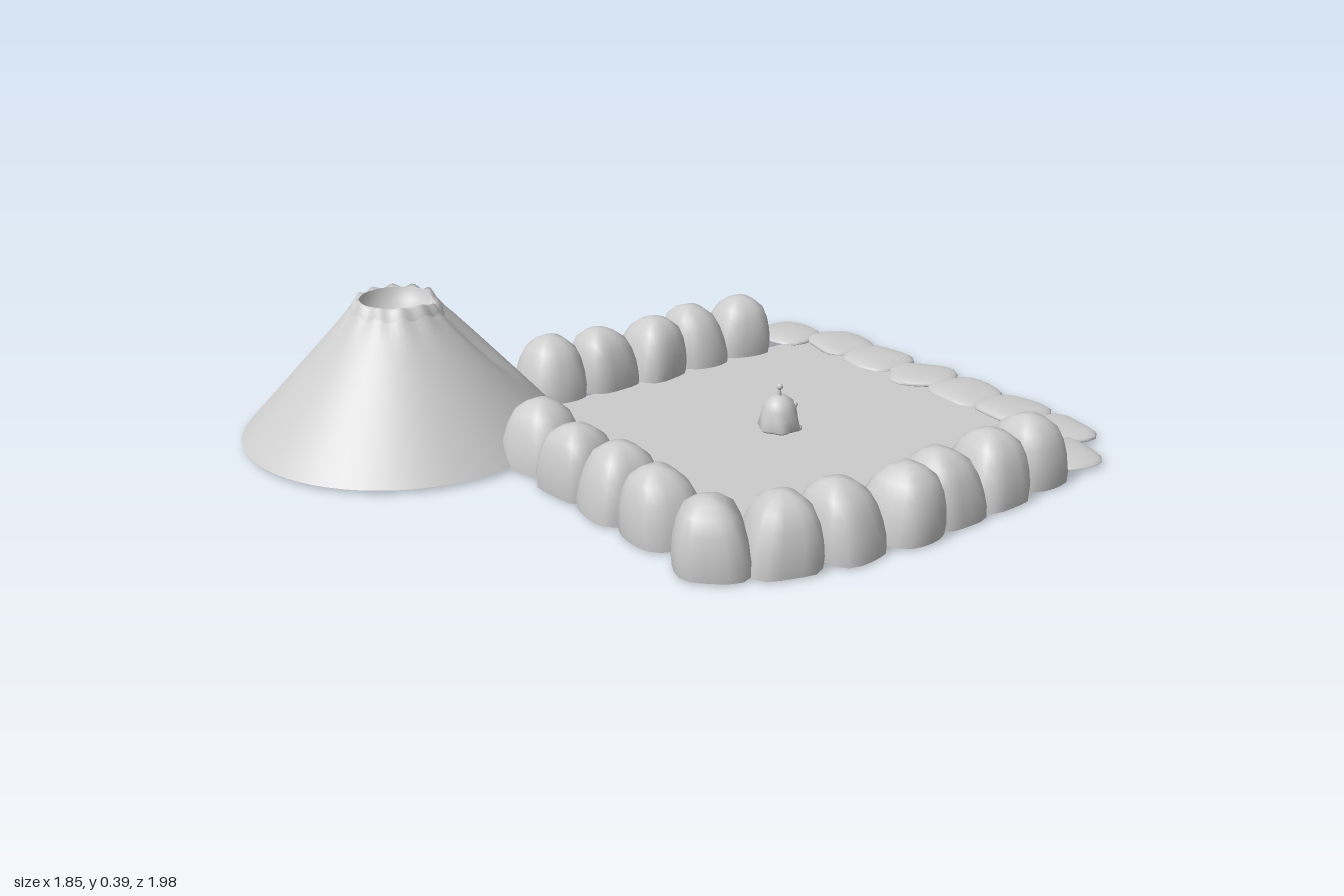
import * as THREE from 'three';
import { mergeVertices } from 'three/addons/utils/BufferGeometryUtils.js';

const stone = new THREE.MeshStandardMaterial({ color: 0xcccccc });
stone.name = 'plain grey';

function add(parent, geometry, name, x = 0, y = 0, z = 0) {
  const mesh = new THREE.Mesh(geometry, stone);
  mesh.name = name;
  mesh.position.set(x, y, z);
  parent.add(mesh);
  return mesh;
}

// Turned profile whose vertices can be moved by a rule, with seamless smooth normals
function turned(profile, segments, rule) {
  const geo = new THREE.LatheGeometry(profile.map(([r, y]) => new THREE.Vector2(r, y)), segments);
  return shaped(geo, rule);
}

function shaped(geo, rule) {
  geo.deleteAttribute('uv');
  geo.deleteAttribute('normal');
  const p = geo.attributes.position;
  const v = new THREE.Vector3();
  for (let i = 0; i < p.count; i++) {
    v.fromBufferAttribute(p, i);
    if (rule) rule(v);
    p.setXYZ(i, v.x, v.y, v.z);
  }
  const merged = mergeVertices(geo, 1e-5);
  merged.computeVertexNormals();
  return merged;
}

// Rounded-square thimble boulder with slight irregularity
function boulder(parent, name, x, z, seed, turn, flat) {
  const rule = (v) => {
    const a = Math.atan2(v.x, v.z);
    const square = Math.pow(Math.cos(a) ** 4 + Math.sin(a) ** 4, -0.2);
    const k = square * (1 + 0.04 * Math.sin(3 * a + seed * 1.7));
    v.x = v.x * k * 1.06 + v.y * 0.07 * Math.sin(seed * 2.3);
    v.z = v.z * k * 0.97 + v.y * 0.07 * Math.cos(seed * 3.1);
  };
  const group = new THREE.Group();
  group.name = name;
  group.position.set(x, flat ? 0.01 : 0.004, z);
  group.rotation.y = turn;
  group.scale.y = flat ? 0.12 : 1;
  add(group, turned([[0.094, 0], [0.095, 0.03], [0.09, 0.07], [0.08, 0.11], [0.064, 0.145],
    [0.038, 0.167], [0.015, 0.175], [0, 0.177]], 20, rule), 'boulderBody');
  const base = new THREE.CircleGeometry(0.094, 20).rotateX(Math.PI / 2);
  add(group, shaped(base, rule), 'boulderBase');
  parent.add(group);
}

function buildWall(parent) {
  const wall = new THREE.Group();
  wall.name = 'boulderWall';
  const left = [[-0.44, -0.6], [-0.44, -0.44], [-0.43, -0.26], [-0.446, -0.09], [-0.46, 0.085]];
  const right = [[0.78, -0.576], [0.8, -0.397], [0.805, -0.228], [0.81, -0.08], [0.795, 0.09],
    [0.757, 0.26, -0.35], [0.68, 0.39, -0.6]];
  const front = [[-0.045, 0.38], [0.135, 0.39], [0.303, 0.39], [0.483, 0.385]];
  const back = [[-0.43, -0.81, 0.1], [-0.256, -0.885, -0.2], [-0.077, -0.873], [0.108, -0.88, 0.7],
    [0.288, -0.88], [0.46, -0.885], [0.636, -0.862, -0.25], [0.757, -0.746, -0.2]];
  let seed = 0;
  const row = (list, name, flat) => list.forEach(([x, z, turn]) => {
    seed++;
    boulder(wall, name, x, z, seed, turn ?? 0.12 * Math.sin(seed * 5), flat);
  });
  row(left, 'leftBoulder', false);
  row(right, 'rightBoulder', false);
  row(front, 'frontBoulder', false);
  row(back, 'flatBackStone', true);
  parent.add(wall);
}

function buildVolcano(parent) {
  const volcano = new THREE.Group();
  volcano.name = 'volcano';
  volcano.position.set(-0.49, 0, 0.555);
  // Channel running from the crater down the slope
  const channel = Math.atan2(0.54, -0.84);
  const rule = (v) => {
    const a = Math.atan2(v.x, v.z);
    const r = Math.hypot(v.x, v.z);
    let d = a - channel;
    d = Math.atan2(Math.sin(d), Math.cos(d)) * Math.max(r, 0.1);
    const cut = Math.exp(-((d / 0.04) ** 2)) * THREE.MathUtils.smoothstep(v.y, 0.13, 0.26);
    if (r > 0.09) v.y -= 0.035 * cut;
    if (r > 0.11 && v.y > 0.34) v.y += 0.006 * Math.sin(a * 12);
  };
  add(volcano, turned([[0.44, 0.01], [0.405, 0.05], [0.36, 0.1], [0.31, 0.155], [0.26, 0.21],
    [0.21, 0.265], [0.165, 0.315], [0.127, 0.357]], 72, rule), 'slope');
  add(volcano, turned([[0.127, 0.357], [0.112, 0.384], [0.1, 0.384]], 72, rule), 'rim');
  add(volcano, turned([[0.1, 0.384], [0.09, 0.35], [0.06, 0.325], [0, 0.315]], 72, rule), 'crater');
  add(volcano, new THREE.CircleGeometry(0.44, 72).rotateX(Math.PI / 2), 'base', 0, 0.01);
  parent.add(volcano);
}

function buildCreature(parent) {
  const creature = new THREE.Group();
  creature.name = 'smallCreature';
  creature.position.set(0.175, 0.008, -0.25);
  // Bell body with a lobed hem
  add(creature, turned([[0, 0.012], [0.05, 0.01], [0.058, 0.018], [0.052, 0.045], [0.048, 0.07],
    [0.038, 0.092], [0.02, 0.106], [0, 0.11]], 24, (v) => {
    const k = 1 + 0.1 * Math.cos(6 * Math.atan2(v.x, v.z)) * Math.max(0, 1 - v.y / 0.06);
    v.x *= k;
    v.z *= k;
  }), 'body');
  add(creature, new THREE.CylinderGeometry(0.004, 0.005, 0.025, 8), 'stalk', 0, 0.118);
  add(creature, new THREE.SphereGeometry(0.009, 10, 8), 'stalkTip', 0, 0.133);
  for (const side of [-1, 1]) {
    add(creature, new THREE.SphereGeometry(0.008, 10, 8), 'eye', side * 0.02, 0.078, -0.04);
    const foot = add(creature, new THREE.SphereGeometry(0.016, 10, 8), 'foot', side * 0.025, 0.009, -0.042);
    foot.scale.set(1, 0.6, 1.2);
  }
  add(creature, new THREE.SphereGeometry(0.007, 10, 8), 'nose', 0, 0.065, -0.048);
  parent.add(creature);
}

export function createModel() {
  const model = new THREE.Group();
  model.name = 'boulderEnclosure';
  // Floor slab inside the wall
  add(model, new THREE.BoxGeometry(1.09, 0.008, 1.16), 'floor', 0.175, 0.004, -0.27);
  buildWall(model);
  buildVolcano(model);
  buildCreature(model);
  return model;
}
